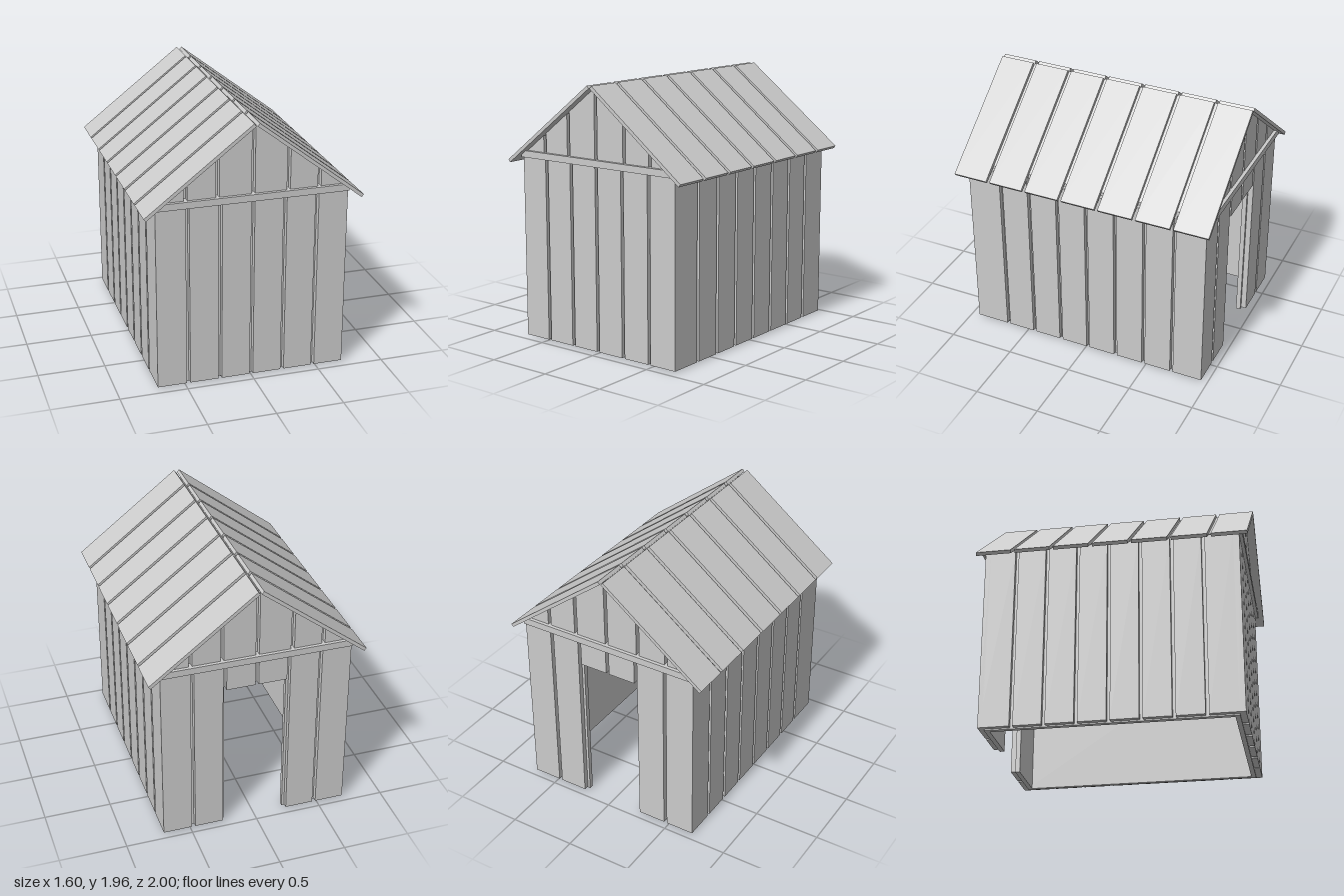
import * as THREE from 'three';

const material = new THREE.MeshStandardMaterial({ color: 0xcccccc, flatShading: true });
const WALL_X = 0.705, CORE_X = 0.67;        // outer boards, inner shell
const FRONT = 0.89, BACK = -0.91;           // shell ends
const BOARD = 0.04, GAP = 0.025;
const DOOR_X = 0.23, CEILING = 1.18, EAVE = 1.398, BEAM_Y = 1.38, BEAM_TOP = 1.43;
const roofY = (x) => 1.943 - 0.776 * Math.abs(x);

export function createModel() {
  const model = new THREE.Group();
  model.name = 'woodenShed';

  const addGroup = (name) => {
    const g = new THREE.Group();
    g.name = name;
    model.add(g);
    return g;
  };

  // Box given by its minimum and maximum on each axis
  const box = (parent, name, x0, x1, y0, y1, z0, z1) => {
    const mesh = new THREE.Mesh(new THREE.BoxGeometry(x1 - x0, y1 - y0, z1 - z0), material);
    mesh.position.set((x0 + x1) / 2, (y0 + y1) / 2, (z0 + z1) / 2);
    mesh.name = name;
    parent.add(mesh);
  };

  // Outline in x and y pushed from z0 to z1
  const prism = (parent, name, points, z0, z1) => {
    const shape = new THREE.Shape(points.map(([x, y]) => new THREE.Vector2(x, y)));
    const geometry = new THREE.ExtrudeGeometry(shape, { depth: z1 - z0, bevelEnabled: false });
    const mesh = new THREE.Mesh(geometry, material);
    mesh.position.z = z0;
    mesh.name = name;
    parent.add(mesh);
  };

  // Inner shell: hollow below the ceiling, solid attic above, open doorway at the back
  const shell = addGroup('innerShell');
  const t = 0.035;
  prism(shell, 'attic', [
    [-CORE_X, CEILING], [CORE_X, CEILING], [CORE_X, roofY(CORE_X)], [0, roofY(0)], [-CORE_X, roofY(CORE_X)],
  ], BACK, FRONT);
  box(shell, 'frontLining', -CORE_X, CORE_X, 0, CEILING, FRONT - t, FRONT);
  for (const s of [-1, 1]) {
    const side = s > 0 ? 'left' : 'right';
    const span = (a, b) => (s > 0 ? [a, b] : [-b, -a]);
    box(shell, side + 'Lining', ...span(CORE_X - t, CORE_X), 0, CEILING, BACK, FRONT - t);
    box(shell, side + 'DoorLining', ...span(DOOR_X, CORE_X - t), 0, CEILING, BACK, BACK + t);
  }

  // Side walls: eight upright boards each
  const sidePitch = 0.23;
  for (const s of [-1, 1]) {
    const wall = addGroup(s > 0 ? 'leftWall' : 'rightWall');
    for (let i = 0; i < 8; i++) {
      const z1 = i === 0 ? FRONT : FRONT - 0.22 - sidePitch * i + sidePitch + GAP / 2 - GAP / 2 - GAP / 2 + 0.0125;
      const zTop = i === 0 ? FRONT : z1 - 0.0125;
      const zLow = i === 7 ? BACK - 0.035 : 0.67 - sidePitch * i + GAP / 2;
      const x0 = s > 0 ? CORE_X : -WALL_X;
      box(wall, 'sideBoard', x0, x0 + WALL_X - CORE_X, 0.01, EAVE, zLow, zTop);
    }
  }

  // End walls: boards below the beam, shorter ones over the doorway, gable boards above
  const wallSeams = [-WALL_X - GAP / 2, -0.475, -0.237, 0, 0.237, 0.475, WALL_X + GAP / 2];
  const gableSeams = [-0.664 - GAP / 2, -0.488, -0.259, 0, 0.259, 0.488, 0.664 + GAP / 2];
  for (const end of ['front', 'back']) {
    const isFront = end === 'front';
    const z0 = isFront ? FRONT : BACK - BOARD;
    const z1 = z0 + BOARD + (isFront ? 0.005 : 0);
    const wall = addGroup(end + 'Wall');
    for (let i = 0; i < 6; i++) {
      const overDoor = !isFront && (i === 2 || i === 3);
      box(wall, overDoor ? 'lintelBoard' : 'wallBoard',
        wallSeams[i] + GAP / 2, wallSeams[i + 1] - GAP / 2, overDoor ? CEILING : 0.01, BEAM_Y, z0, z1);
      const a = gableSeams[i] + GAP / 2, b = gableSeams[i + 1] - GAP / 2;
      prism(wall, 'gableBoard', [
        [a, BEAM_TOP - 0.02], [b, BEAM_TOP - 0.02], [b, roofY(b)], [a, roofY(a)],
      ], z0, z1);
    }
    // Tie beam with its ends cut to the roof slope
    prism(wall, 'tieBeam', [
      [-WALL_X, BEAM_Y], [WALL_X, BEAM_Y], [WALL_X, roofY(WALL_X)],
      [0.661, BEAM_TOP], [-0.661, BEAM_TOP], [-WALL_X, roofY(WALL_X)],
    ], isFront ? z0 : z0 - 0.025, isFront ? z1 + 0.025 : z1);
  }

  // Roof: seven wide boards on each slope with gaps between and along the ridge
  const roofWidth = 0.262, roofPitch = (2 - roofWidth) / 6;
  for (const s of [-1, 1]) {
    const slope = addGroup(s > 0 ? 'leftRoof' : 'rightRoof');
    const outline = [[0.02, 1.96], [0.8, 1.357], [0.784, 1.337], [0.004, 1.94]].map(([x, y]) => [s * x, y]);
    for (let i = 0; i < 7; i++) {
      const z = -1 + roofPitch * i;
      prism(slope, 'roofBoard', outline, z, z + roofWidth);
    }
  }
  return model;
}
